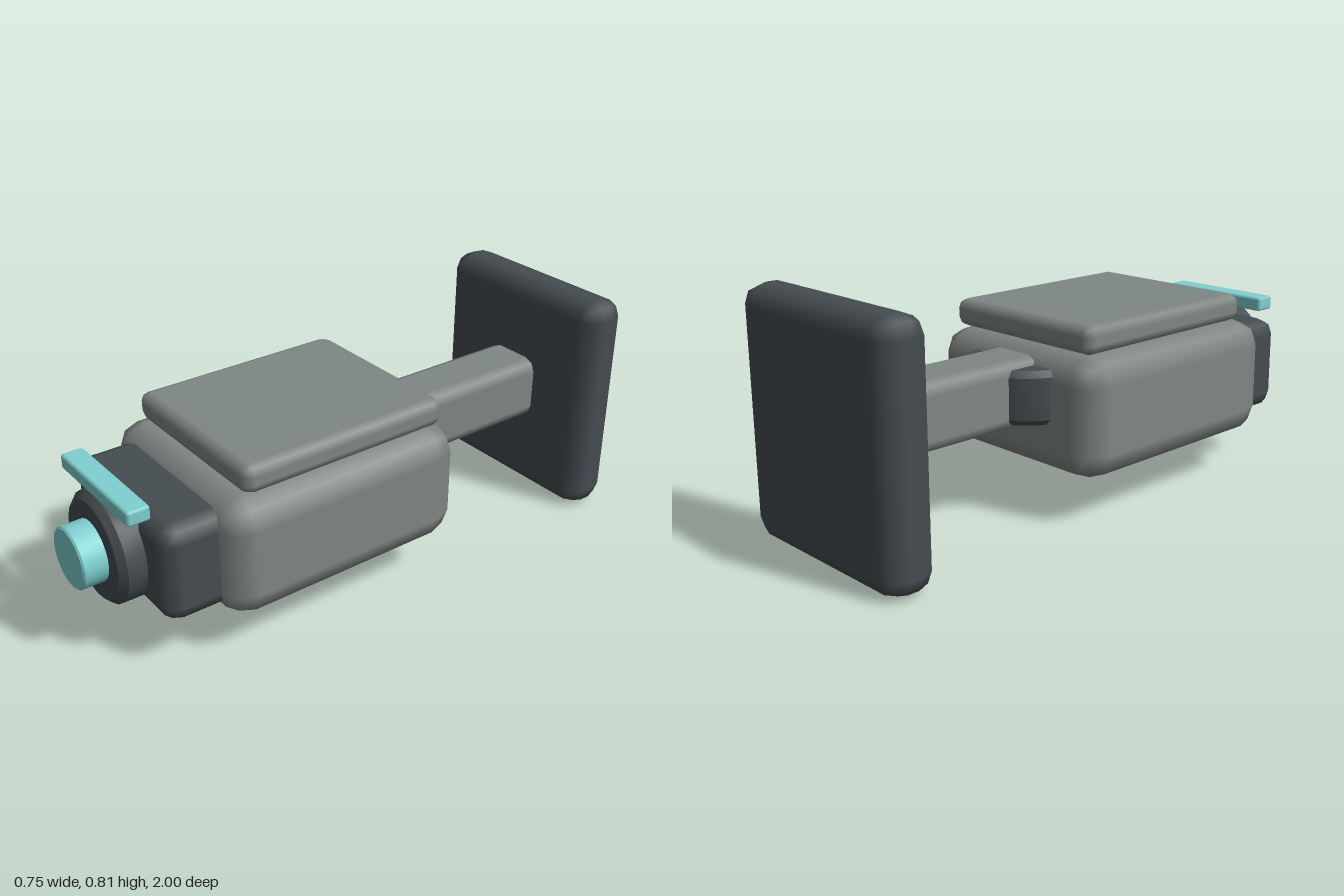
import * as THREE from 'three';
import { RoundedBoxGeometry } from 'three/addons/geometries/RoundedBoxGeometry.js';
import { toCreasedNormals } from 'three/addons/utils/BufferGeometryUtils.js';

export function createModel() {
  const group = new THREE.Group();
  const material = (name, color) => {
    const m = new THREE.MeshStandardMaterial({ color });
    m.name = name;
    return m;
  };
  const grey = material('body grey', 0x7f8785);
  const dark = material('dark slate', 0x454d50);
  const teal = material('lens teal', 0x7fd0d0);

  const add = (name, geometry, mat) => {
    const mesh = new THREE.Mesh(geometry, mat);
    mesh.name = name;
    group.add(mesh);
    return mesh;
  };

  // Box with a two-step rounded edge, given by its limits on y and z
  const block = (name, mat, halfX, [y0, y1], [z0, z1], r) =>
    add(name, new RoundedBoxGeometry(halfX * 2, y1 - y0, z1 - z0, 1, r), mat)
      .position.set(0, (y0 + y1) / 2, (z0 + z1) / 2);

  // Disc with chamfered rims, standing along y
  const disc = (radius, height, chamfer, sides) => {
    const h = height / 2;
    const profile = [
      [0, -h], [radius - chamfer, -h], [radius, -h + chamfer],
      [radius, h - chamfer], [radius - chamfer, h], [0, h],
    ].map(([x, y]) => new THREE.Vector2(x, y));
    return toCreasedNormals(new THREE.LatheGeometry(profile, sides), 0.35);
  };

  // Wall mount
  block('wallPlate', dark, 0.365, [0, 0.81], [-1, -0.83], 0.065);
  block('mountArm', grey, 0.112, [0.296, 0.524], [-0.9, -0.1], 0.045);
  add('swivelJoint', disc(0.215, 0.18, 0.02, 24), dark).position.set(0, 0.408, -0.16);

  // Housing
  block('housing', grey, 0.373, [0.142, 0.555], [-0.242, 0.656], 0.095);
  block('topCover', grey, 0.322, [0.553, 0.65], [-0.198, 0.566], 0.035);
  block('frontBezel', dark, 0.294, [0.18, 0.515], [0.5, 0.832], 0.058);

  // Lens
  const ring = add('lensRing', disc(0.185, 0.128, 0.022, 24), dark);
  ring.rotation.x = Math.PI / 2;
  ring.position.set(0, 0.348, 0.854);
  const lens = add('lens', disc(0.102, 0.14, 0.006, 32), teal);
  lens.rotation.x = Math.PI / 2;
  lens.position.set(0, 0.348, 0.93);

  // Light bar above the lens
  block('lightBar', teal, 0.215, [0.527, 0.578], [0.82, 0.898], 0.01);

  return group;
}
